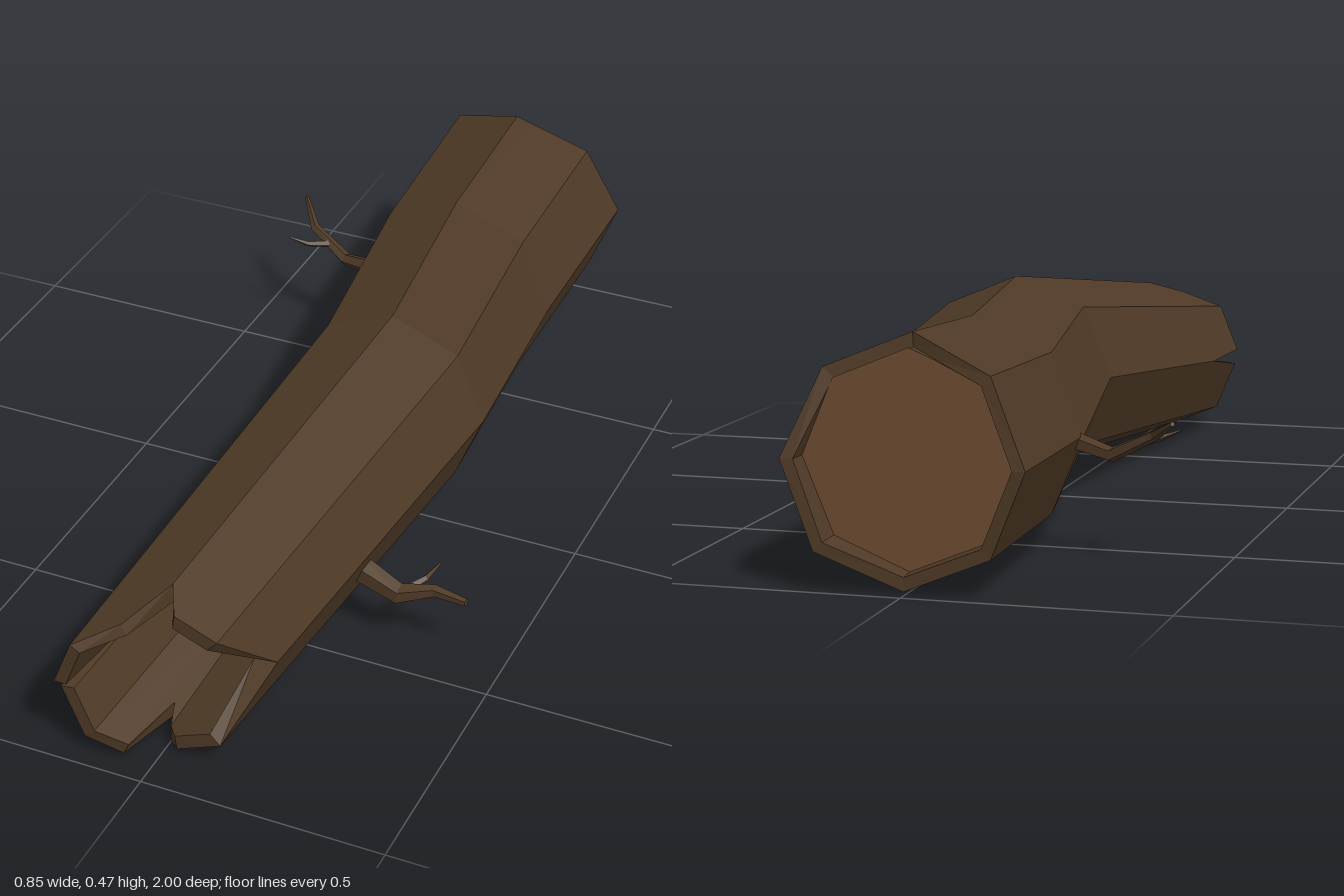
import * as THREE from 'three';

// Joins rows of points (closed loops) into faceted skin.
function loft(rows) {
  const pos = [];
  const put = (...pts) => pts.forEach((p) => pos.push(p.x, p.y, p.z));
  for (let k = 0; k + 1 < rows.length; k++) {
    const a = rows[k], b = rows[k + 1], n = a.length;
    for (let i = 0; i < n; i++) {
      const j = (i + 1) % n;
      put(a[i], a[j], b[j], a[i], b[j], b[i]);
    }
  }
  const g = new THREE.BufferGeometry();
  g.setAttribute('position', new THREE.Float32BufferAttribute(pos, 3));
  g.computeVertexNormals();
  return g;
}

// Fills one loop with a fan around its middle.
function disc(loop) {
  const mid = new THREE.Vector3();
  loop.forEach((p) => mid.addScaledVector(p, 1 / loop.length));
  return loft([loop, loop.map(() => mid)]);
}

// Rings along the log: z, centre x, centre y, radius
const OUTER = [
  [-1, 0, 0.25, 0.233],
  [-0.53, 0.01, 0.237, 0.222],
  [-0.02, 0.075, 0.27, 0.205],
  [1, -0.013, 0.173, 0.171],
];
const HOLLOW = [[0.6, 0.015, 0.205, 0.117], [1, -0.008, 0.175, 0.15]];
const BACK = [[-1, 0, 0.25, 0.208], [-0.9, 0, 0.25, 0.2]];

// Point on the octagon at corner number u (0 = +x, 2 = top) and depth z.
function at(rings, u, z) {
  let k = 0;
  while (k < rings.length - 2 && z > rings[k + 1][0]) k++;
  const a = rings[k], b = rings[k + 1], t = (z - a[0]) / (b[0] - a[0]);
  const [cx, cy, r] = [1, 2, 3].map((i) => a[i] + (b[i] - a[i]) * t);
  const corner = (n) => new THREE.Vector3(cx + r * Math.cos(n * Math.PI / 4), cy + r * Math.sin(n * Math.PI / 4), z);
  const f = Math.floor(u);
  return corner(f).lerp(corner(f + 1), u - f);
}

// Splintered front edge: corner number, depth
const FRONT_EDGE = [
  [0, 0.78], [1, 0.9], [1.7, 0.9], [2, 0.84], [2.35, 0.95], [3, 1], [3.85, 0.995], [4, 0.76],
  [4.12, 0.97], [5, 0.97], [5.6, 0.955], [5.8, 0.82], [6, 0.87], [6.25, 0.9], [7, 0.9],
];
// Depth of the back edge at each corner
const BACK_EDGE = [-0.985, -0.94, -0.915, -0.98, -1, -0.985, -0.98, -1];

// Tapered, bent twig through points [x, y, z, radius]
function twig(points, sides = 5) {
  const p = points.map((q) => new THREE.Vector3(q[0], q[1], q[2]));
  const rows = p.map((c, k) => {
    const t = p[Math.min(k + 1, p.length - 1)].clone().sub(p[Math.max(k - 1, 0)]).normalize();
    const e1 = new THREE.Vector3(0, 1, 0).cross(t).normalize();
    const e2 = t.clone().cross(e1);
    return Array.from({ length: sides }, (_, i) => {
      const a = (i / sides) * Math.PI * 2, r = points[k][3];
      return c.clone().addScaledVector(e1, r * Math.cos(a)).addScaledVector(e2, r * Math.sin(a));
    });
  });
  rows.push(rows[0].map(() => p[p.length - 1]));
  return loft(rows);
}

export function createModel() {
  const bark = new THREE.MeshStandardMaterial({ color: 0x4f3a26, flatShading: true });
  bark.name = 'bark';
  const wood = new THREE.MeshStandardMaterial({ color: 0x6d4c30, flatShading: true });
  wood.name = 'cutWood';

  const model = new THREE.Group();
  model.name = 'hollowLog';
  const add = (name, geometry, material, parent = model) => {
    const m = new THREE.Mesh(geometry, material);
    m.name = name;
    parent.add(m);
  };

  // Trunk: back recess, back rim, outer bark, front rim, hollow
  const us = FRONT_EDGE.map((e) => e[0]);
  const backZ = (u) => {
    const f = Math.floor(u);
    return THREE.MathUtils.lerp(BACK_EDGE[f], BACK_EDGE[(f + 1) % 8], u - f);
  };
  const backFloor = us.map((u) => at(BACK, u, -0.945));
  const frontFloor = us.map((u) => at(HOLLOW, u, 0.6));
  add('trunk', loft([
    backFloor,
    us.map((u) => at(BACK, u, backZ(u))),
    us.map((u) => at(OUTER, u, backZ(u))),
    us.map((u) => at(OUTER, u, -0.53)),
    us.map((u) => at(OUTER, u, -0.02)),
    FRONT_EDGE.map(([u, z]) => at(OUTER, u, z)),
    FRONT_EDGE.map(([u, z]) => at(HOLLOW, u, z)),
    frontFloor,
  ]), bark);

  // Bare wood at both ends
  add('frontWood', disc(frontFloor), wood);
  add('backWood', disc(backFloor.slice().reverse()), wood);

  // Broken branches, each with a small shoot
  const branches = {
    leftBranch: [
      [[0.17, 0.165, 0.4, 0.03], [0.28, 0.132, 0.418, 0.022], [0.35, 0.15, 0.403, 0.013], [0.42, 0.15, 0.414, 0.008]],
      [[0.29, 0.14, 0.41, 0.01], [0.318, 0.152, 0.375, 0.007], [0.33, 0.16, 0.325, 0.002]],
    ],
    rightBranch: [
      [[-0.17, 0.235, -0.54, 0.02], [-0.28, 0.212, -0.585, 0.015], [-0.37, 0.258, -0.615, 0.011], [-0.42, 0.292, -0.68, 0.005]],
      [[-0.32, 0.235, -0.6, 0.009], [-0.365, 0.243, -0.565, 0.006], [-0.405, 0.258, -0.552, 0.002]],
    ],
  };
  for (const [name, [stem, shoot]] of Object.entries(branches)) {
    const g = new THREE.Group();
    g.name = name;
    add('stem', twig(stem), bark, g);
    add('shoot', twig(shoot, 4), bark, g);
    model.add(g);
  }
  return model;
}
